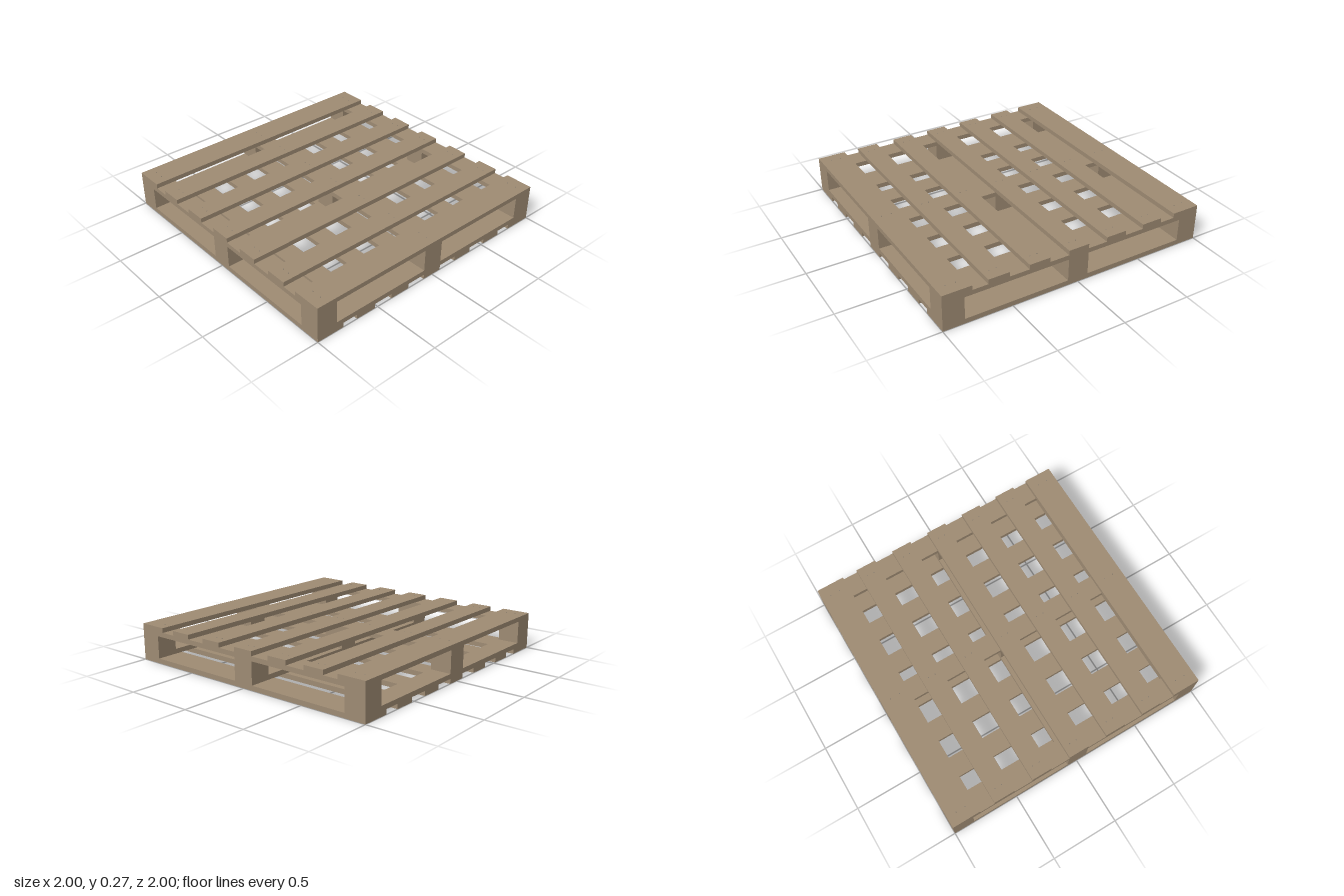
import * as THREE from 'three';

export function createModel() {
  const pallet = new THREE.Group();
  pallet.name = 'pallet';
  const wood = new THREE.MeshStandardMaterial({ color: 0x9e8b73 });
  wood.name = 'wood';
  const steel = new THREE.MeshStandardMaterial({ color: 0x857a6c });
  steel.name = 'nail steel';

  // Layer heights, from the ground up
  const Y = [0, 0.035, 0.07, 0.2, 0.234, 0.268];
  const NARROW = 0.155, WIDE = 0.21;
  const supports = [-0.9225, 0, 0.9225];
  const deck = [[-0.895, WIDE], [-0.6, NARROW], [-0.3, NARROW], [0, NARROW],
    [0.3, NARROW], [0.6, NARROW], [0.895, WIDE]];

  function timber(name, layer, x, z, w, d) {
    const h = Y[layer + 1] - Y[layer];
    const mesh = new THREE.Mesh(new THREE.BoxGeometry(w, h, d), wood);
    mesh.position.set(x, Y[layer] + h / 2, z);
    mesh.name = name;
    pallet.add(mesh);
  }

  // Bottom boards run front to back, top boards run side to side
  for (const [p, width] of deck) {
    timber('bottomBoard', 0, p, 0, width, 2);
    timber('topBoard', 4, 0, p, 2, width);
  }

  // Stringers above and below the nine blocks
  for (const p of supports) {
    timber('lowerStringer', 1, 0, p, 2, NARROW);
    timber('upperStringer', 3, p, 0, NARROW, 2);
    for (const x of supports) timber('block', 2, x, p, NARROW, NARROW);
  }

  // A pair of nail heads wherever a top board crosses a stringer
  const nailGeometry = new THREE.CylinderGeometry(0.004, 0.004, 0.002, 8);
  for (const [z, width] of deck) {
    for (const x of [-0.918, 0, 0.918]) {
      for (const side of [-1, 1]) {
        const nail = new THREE.Mesh(nailGeometry, steel);
        nail.position.set(x, Y[5], z + side * width * 0.17);
        nail.name = 'nailHead';
        pallet.add(nail);
      }
    }
  }
  return pallet;
}
